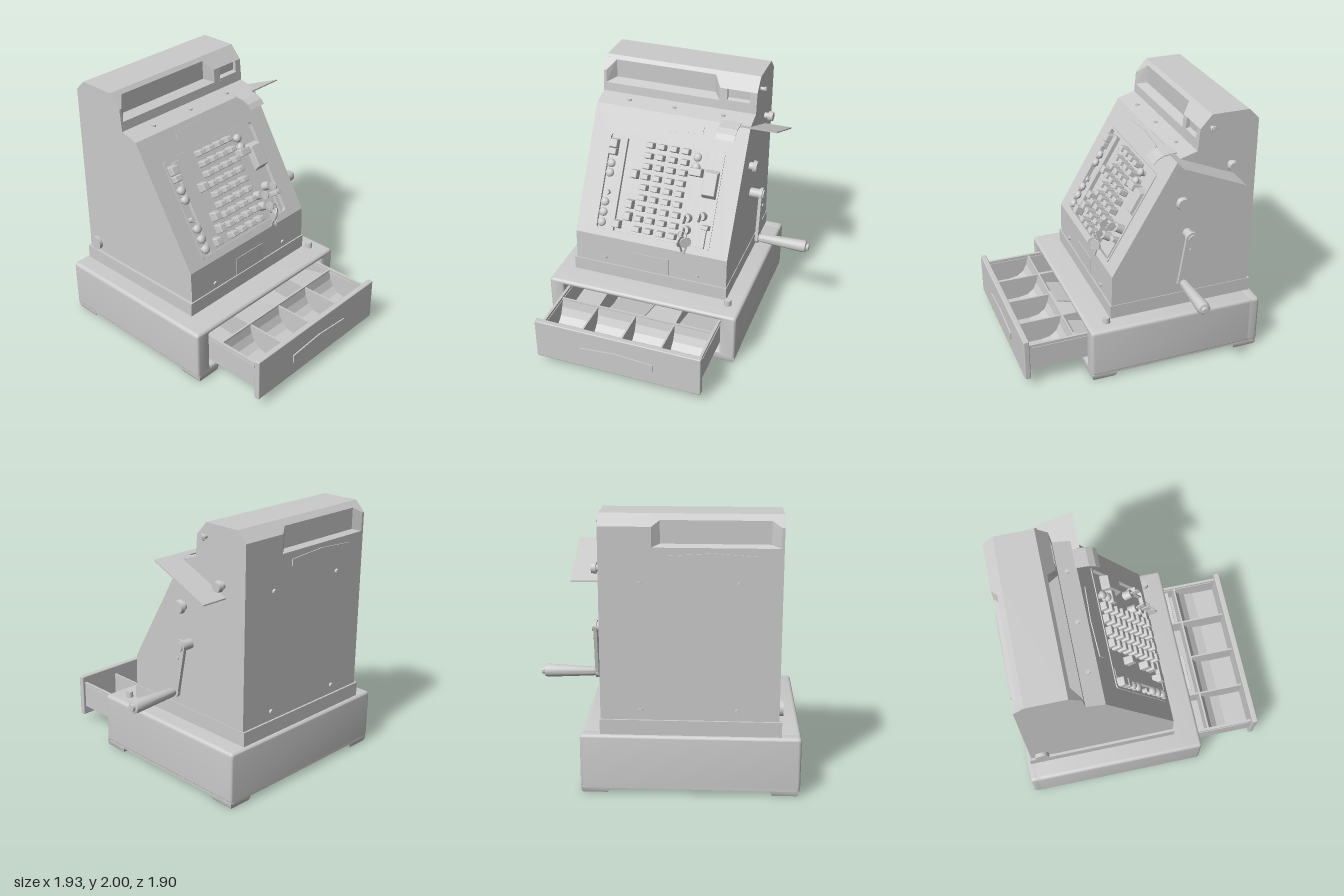
import * as THREE from 'three';
import { RoundedBoxGeometry } from 'three/addons/geometries/RoundedBoxGeometry.js';
import { ConvexGeometry } from 'three/addons/geometries/ConvexGeometry.js';
import { toCreasedNormals } from 'three/addons/utils/BufferGeometryUtils.js';

const grey = new THREE.MeshStandardMaterial({ color: 0xcccccc, side: THREE.DoubleSide });

function add(parent, name, geo, x = 0, y = 0, z = 0) {
  const mesh = new THREE.Mesh(geo, grey);
  mesh.name = name;
  mesh.position.set(x, y, z);
  parent.add(mesh);
  return mesh;
}
const box = (w, h, d) => new THREE.BoxGeometry(w, h, d);
const cyl = (r1, r2, len, axis = 'y') => {
  const g = new THREE.CylinderGeometry(r1, r2, len, 24);
  return axis === 'x' ? g.rotateZ(-Math.PI / 2) : axis === 'z' ? g.rotateX(Math.PI / 2) : g;
};
const poly = (pts) => new THREE.Shape(pts.map(([x, y]) => new THREE.Vector2(x, y)));
const extrude = (shape, depth, opts = {}) =>
  new THREE.ExtrudeGeometry(shape, { depth, bevelEnabled: false, curveSegments: 8, ...opts });
// Rounded edges that stay within the outline
const softExtrude = (shape, depth, r) => toCreasedNormals(extrude(shape, depth - 2 * r,
  { bevelEnabled: true, bevelSize: r, bevelThickness: r, bevelOffset: -r, bevelSegments: 3 }).translate(0, 0, r), 0.6);
// Profile given as [z, y], extruded along +x
const sideExtrude = (pts, depth) => extrude(poly(pts.map(([z, y]) => [-z, y])), depth).rotateY(Math.PI / 2);

function roundRect(x0, y0, x1, y1, r, Type = THREE.Shape, rLow = r) {
  const s = new Type();
  s.moveTo(x0 + rLow, y0).lineTo(x1 - rLow, y0).quadraticCurveTo(x1, y0, x1, y0 + rLow);
  s.lineTo(x1, y1 - r).quadraticCurveTo(x1, y1, x1 - r, y1);
  s.lineTo(x0 + r, y1).quadraticCurveTo(x0, y1, x0, y1 - r);
  s.lineTo(x0, y0 + rLow).quadraticCurveTo(x0, y0, x0 + rLow, y0);
  return s;
}
// Flat six-sided ornament, widest in the middle
const plaque = (w, hEnd, hMid) => extrude(poly([[-w, -hEnd], [0, -hMid], [w, -hEnd], [w, hEnd], [0, hMid], [-w, hEnd]]), 0.01);
// Key cap tapering towards its top (local +z)
function keyCap(w, h, d) {
  const g = new RoundedBoxGeometry(w, h, d, 2, 0.008), p = g.attributes.position;
  for (let i = 0; i < p.count; i++) if (p.getZ(i) > 0) p.setXY(i, p.getX(i) * 0.92, p.getY(i) * 0.8);
  g.computeVertexNormals();
  return g;
}

function buildBase(model) {
  const base = new THREE.Group();
  base.name = 'base';
  model.add(base);
  // Case with the drawer opening and a closed back
  const outline = () => roundRect(-0.97, 0.052, 0.593, 0.44, 0.03, THREE.Shape, 0.01);
  const shell = outline();
  shell.holes.push(roundRect(-0.845, 0.085, 0.465, 0.395, 0.005, THREE.Path));
  add(base, 'drawerCase', softExtrude(shell, 1.36, 0.02), 0, 0, -0.915);
  add(base, 'caseBack', softExtrude(outline(), 0.1, 0.02), 0, 0, -0.95);
  // Rim under the case, widest at the back
  const rim = roundRect(-0.968, -0.443, 0.591, 0.948, 0.03);
  rim.holes.push(roundRect(-0.8, -0.41, 0.48, 0.68, 0.01, THREE.Path));
  add(base, 'bottomRim', extrude(rim, 0.03).rotateX(-Math.PI / 2), 0, 0.038, 0);
  // Hollow square feet
  for (const x of [-0.86, 0.49]) for (const z of [0.345, -0.845]) {
    const ring = [[0.05, 0.03], [0.055, 0], [0.09, 0], [0.098, 0.02], [0.1, 0.045]].map(([r, y]) => new THREE.Vector2(r * 1.41, y));
    add(base, 'foot', toCreasedNormals(new THREE.LatheGeometry(ring, 4).rotateY(Math.PI / 4), 0.5), x, 0, z);
  }
  add(base, 'lockButton', cyl(0.026, 0.03, 0.05), 0.48, 0.46, 0.29);

  // Open drawer
  const drawer = new THREE.Group();
  drawer.name = 'drawer';
  base.add(drawer);
  add(drawer, 'drawerFront', new RoundedBoxGeometry(1.34, 0.34, 0.045, 2, 0.008), -0.19, 0.24, 0.92);
  add(drawer, 'drawerPlaque', plaque(0.3, 0.032, 0.056), -0.19, 0.225, 0.945);
  add(drawer, 'drawerFloor', box(1.29, 0.015, 1.3), -0.19, 0.148, 0.25);
  for (const x of [-0.825, 0.447]) {
    add(drawer, 'drawerSide', box(0.02, 0.215, 1.3), x, 0.25, 0.25);
    add(drawer, 'drawerRunner', box(0.03, 0.02, 1.25), x, 0.325, 0.25);
  }
  for (const x of [-0.51, -0.19, 0.13]) add(drawer, 'coinDivider', box(0.014, 0.19, 0.38), x, 0.245, 0.72);
  for (const x of [-0.51, 0.13]) add(drawer, 'noteDivider', box(0.014, 0.19, 0.9), x, 0.245, 0.09);
  add(drawer, 'crossDivider', box(1.27, 0.2, 0.015), -0.19, 0.25, 0.54);
  add(drawer, 'coinScoop', sideExtrude([[0.54, 0.15], [0.72, 0.155], [0.64, 0.17], [0.59, 0.21], [0.56, 0.27], [0.547, 0.34], [0.54, 0.34]], 1.26), -0.82);
  add(drawer, 'drawerBack', box(1.29, 0.2, 0.02), -0.19, 0.25, -0.39);
  for (const x of [-0.3, 0.29]) add(drawer, 'noteClip', box(0.3, 0.01, 0.35), x, 0.24, 0.32).rotation.x = -0.25;
}

function buildBody(model) {
  const body = new THREE.Group();
  body.name = 'body';
  model.add(body);
  add(body, 'plinth', box(1.28, 0.11, 1.17), -0.19, 0.495, -0.34);
  // Housing cut in slices, with recessed windows in some of them
  const lower = [[-0.91, 0.55], [0.235, 0.55], [0.23, 0.8], [0.204, 0.785], [-0.316, 1.675], [-0.29, 1.69], [-0.43, 1.73]];
  const front = [[-0.445, 1.9], [-0.535, 2]], back = [[-0.83, 2], [-0.91, 1.92]];
  const frontCut = [[-0.436, 1.8], [-0.51, 1.825], [-0.51, 1.972], [-0.535, 2]];
  const backCut = [[-0.83, 2], [-0.87, 1.96], [-0.87, 1.8], [-0.91, 1.78]];
  const smallCut = [[-0.436, 1.81], [-0.47, 1.82], [-0.47, 1.89], [-0.445, 1.9], [-0.535, 2]];
  const slices = [[-0.81, -0.79, front, back], [-0.79, 0.08, frontCut, backCut], [0.08, 0.15, frontCut, back],
    [0.15, 0.21, front, back], [0.21, 0.39, smallCut, back], [0.39, 0.445, front, back]];
  for (const [x0, x1, f, b] of slices) add(body, 'housing', sideExtrude([...lower, ...f, ...b], x1 - x0), x0);
  // Slanted cheeks beside the two windows
  const cheek = (name, x, dx, pts) =>
    add(body, name, new ConvexGeometry(pts.map(([t, y, z]) => new THREE.Vector3(x + t * dx, y, z))));
  for (const [x, dx] of [[-0.79, 0.065], [0.15, -0.055]])
    cheek('frontWindowCheek', x, dx, [[0, 1.8, -0.436], [0, 1.9, -0.445], [0, 1.972, -0.51], [0, 1.82, -0.51],
      [1, 1.825, -0.51], [1, 1.972, -0.51]]);
  for (const [x, dx] of [[-0.79, 0.065], [0.08, -0.055]])
    cheek('backWindowCheek', x, dx, [[0, 1.78, -0.91], [0, 1.92, -0.91], [0, 1.96, -0.87], [0, 1.8, -0.87],
      [1, 1.8, -0.87], [1, 1.96, -0.87]]);
  // Plaques, label and screws
  add(body, 'backPlaque', plaque(0.31, 0.025, 0.045), -0.33, 1.7, -0.918);
  add(body, 'frontLabel', box(0.3, 0.15, 0.006), -0.18, 0.625, 0.234);
  for (const x of [-0.565, 0.205]) add(body, 'screw', cyl(0.016, 0.016, 0.02, 'z'), x, 0.6, 0.237);
  for (const x of [-0.515, 0.16]) for (const y of [0.62, 1.53])
    add(body, 'backScrew', cyl(0.018, 0.018, 0.025, 'z'), x, y, -0.915);
  for (const x of [-0.565, -0.19, 0.205]) add(body, 'screw', cyl(0.016, 0.016, 0.014), x, 1.714, -0.365);
  // Side knobs
  add(body, 'leftLock', cyl(0.055, 0.055, 0.03, 'x'), -0.825, 0.62, -0.82);
  const knobs = [[1.345, -0.31, 0.052, 0.06], [1.59, -0.7, 0.042, 0.07], [1.9, -0.535, 0.025, 0.012]];
  for (const [y, z, r, len] of knobs) {
    add(body, 'sideKnobStem', cyl(r * 0.6, r * 0.6, 0.055, 'x'), 0.465, y, z);
    add(body, 'sideKnob', cyl(r * 0.85, r, len * 0.5, 'x'), 0.445 + 0.035 + len * 0.25, y, z);
  }
  // Receipt shelf and paper tongue
  add(body, 'receiptShelf', sideExtrude([[-0.24, 1.715], [-0.73, 1.505], [-0.73, 1.495], [-0.24, 1.705]], 0.29), 0.37);
  add(body, 'paperTongue', sideExtrude([[-0.12, 1.64], [-0.15, 1.675], [-0.2, 1.7], [-0.3, 1.71], [-0.3, 1.7],
    [-0.2, 1.692], [-0.15, 1.667], [-0.125, 1.638]], 0.15), 0.22);
}

function buildKeyboard(model) {
  const panel = new THREE.Group();
  panel.name = 'keyboard';
  panel.position.set(0, 0.8, 0.23);
  panel.rotation.x = -0.5287;
  model.add(panel);
  const up = (y) => (y - 0.81) / 0.863;
  // Sloping face with a sunken key field
  const face = poly([[-0.81, 0], [0.445, 0], [0.445, 1.031], [-0.81, 1.031]]);
  face.holes.push(roundRect(-0.65, 0.055, 0.28, 0.815, 0.03, THREE.Path));
  add(panel, 'slopingFace', extrude(face, 0.03), 0, 0, -0.03);
  const frame = roundRect(-0.66, 0.045, 0.29, 0.825, 0.03);
  frame.holes.push(roundRect(-0.645, 0.06, 0.275, 0.81, 0.03, THREE.Path));
  add(panel, 'keyFrame', extrude(frame, 0.008));
  add(panel, 'slopePlaque', plaque(0.27, 0.028, 0.05), -0.18, up(1.63), -0.002);

  const key = (name, x, y, w, h, top = 0.045) => add(panel, name, keyCap(w, h, top + 0.03), x, up(y) - top * 0.25, (top - 0.03) / 2);
  for (const x of [-0.31, -0.215, -0.115, -0.018])
    for (let row = 0; row < 9; row++) key('numberKey', x, 0.91 + row * 0.0715, 0.065, 0.05);
  const specials = [[-0.605, 1.455, 0.07, 0.08], [-0.605, 1.4, 0.07, 0.06], [-0.4, 1.275, 0.06, 0.075],
    [-0.4, 1.07, 0.06, 0.075], [-0.4, 0.985, 0.06, 0.075], [-0.48, 0.92, 0.065, 0.07], [0.085, 1.36, 0.11, 0.07]];
  for (const [x, y, w, h] of specials) key('functionKey', x, y, w, h);
  key('totalBar', 0.212, 1.295, 0.115, 0.22, 0.035);
  add(panel, 'slotStrip', box(0.06, 0.73, 0.035), -0.535, up(1.175), -0.015);
  const rounds = [[-0.605, 1.31], [-0.605, 1.245], [-0.605, 1.045], [-0.605, 0.975], [-0.605, 0.905], [0.08, 1.45], [0.08, 1.385]];
  for (const [x, y] of rounds) {
    add(panel, 'roundKeyStem', cyl(0.02, 0.02, 0.04, 'z'), x, up(y), -0.01);
    add(panel, 'roundKey', new THREE.SphereGeometry(0.034, 20, 12).scale(1, 1, 0.75), x, up(y), 0.012);
  }
  add(panel, 'starButton', new THREE.CylinderGeometry(0.02, 0.02, 0.04, 8).rotateX(Math.PI / 2), -0.605, up(1.11), -0.01);

  // Locks with keys in them
  for (const [x, y] of [[0.075, 1.04], [0.19, 1.07], [0.08, 0.96]]) {
    add(panel, 'lockBarrel', cyl(0.032, 0.036, 0.07, 'z'), x, up(y), 0);
    add(panel, 'keyShaft', box(0.012, 0.02, 0.05), x, up(y), 0.045);
    add(panel, 'keyBow', cyl(0.034, 0.034, 0.01, 'x'), x, up(y) - 0.01, 0.07);
  }
  key('lever', 0.235, 1.01, 0.06, 0.04);
  add(panel, 'leverSlot', box(0.012, 0.17, 0.03), 0.235, up(0.93), -0.018);
  // Spare keys hanging from a ring
  add(model, 'keyRing', new THREE.TorusGeometry(0.035, 0.004, 6, 24), 0.085, 0.965, 0.235);
  for (const [x, tilt] of [[0.075, 0.3], [0.115, -0.3]]) {
    const bow = add(model, 'hangingKey', cyl(0.045, 0.045, 0.012, 'z'), x, 0.91, 0.245);
    bow.rotation.y = tilt + 0.9;
    add(bow, 'hangingShaft', box(0.015, 0.09, 0.01), 0, -0.06, 0).rotation.z = tilt;
  }
}

function buildCrank(model) {
  const crank = new THREE.Group();
  crank.name = 'crank';
  crank.position.set(0, 1.07, -0.37);
  model.add(crank);
  add(crank, 'axle', cyl(0.038, 0.038, 0.11, 'x'), 0.49);
  // Tapered arm between axle and handle
  const arm = new THREE.Shape();
  arm.absarc(0, 0, 0.052, 0.17, Math.PI + 0.17, false);
  arm.absarc(-0.065, -0.37, 0.045, Math.PI + 0.17, Math.PI * 2 + 0.17, false);
  add(crank, 'arm', extrude(arm, 0.025).rotateY(Math.PI / 2), 0.525);
  add(crank, 'axleCap', cyl(0.034, 0.036, 0.02, 'x'), 0.55);
  add(crank, 'armScrew', cyl(0.012, 0.012, 0.02, 'x'), 0.55, -0.09, 0.015);
  const grip = [[0, 0], [0.028, 0], [0.034, 0.02], [0.05, 0.36], [0.046, 0.385], [0.028, 0.39], [0.026, 0.41], [0, 0.412]];
  const handle = new THREE.LatheGeometry(grip.map(([r, y]) => new THREE.Vector2(r, y)), 24).rotateZ(-Math.PI / 2);
  add(crank, 'handle', toCreasedNormals(handle, 0.6), 0.55, -0.37, 0.065);
}

export function createModel() {
  const model = new THREE.Group();
  model.name = 'cashRegister';
  buildBase(model);
  buildBody(model);
  buildKeyboard(model);
  buildCrank(model);
  return model;
}
